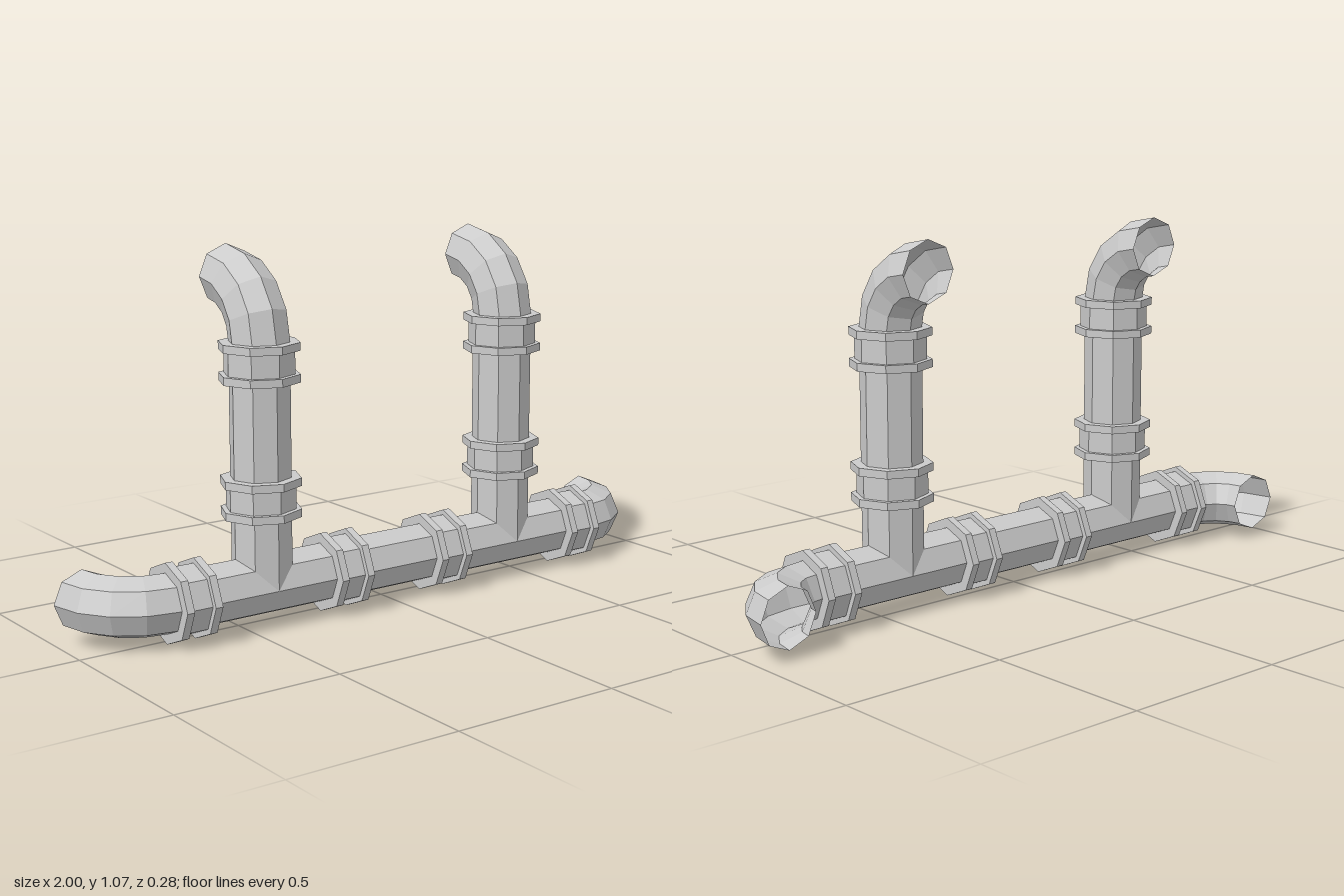
import * as THREE from 'three';

const SIDES = 8;
const PIPE_R = 0.0875;   // pipe radius
const FLANGE_R = 0.1165; // coupling rim radius
const SLEEVE_R = 0.101;  // coupling middle radius
const BEND = 0.1675;     // elbow centre-line radius
const AXIS_Y = FLANGE_R; // height of the horizontal run
const AXIS_Z = 0.0255;   // depth of all straight pipes
const RUN_END = 0.745;   // where the horizontal run meets its elbows
const RISER_X = 0.434;
const RISER_TOP = 0.812;

const material = new THREE.MeshStandardMaterial({
  color: 0xcccccc, flatShading: true, side: THREE.DoubleSide,
});

// Revolve a profile of [radius, height] pairs around y, one corner facing +z
function lathe(profile) {
  return new THREE.LatheGeometry(profile.map(([r, y]) => new THREE.Vector2(r, y)), SIDES);
}

function add(parent, name, geometry, position, rotation = [0, 0, 0]) {
  const mesh = new THREE.Mesh(geometry, material);
  mesh.name = name;
  mesh.position.set(...position);
  mesh.rotation.set(...rotation);
  parent.add(mesh);
  return mesh;
}

// Riser whose lower end is mitred to saddle the horizontal run
function riserGeometry() {
  const height = RISER_TOP - AXIS_Y;
  const geometry = lathe([[PIPE_R, 0], [PIPE_R, height]]);
  const pos = geometry.attributes.position;
  for (let i = 0; i < pos.count; i++) {
    if (pos.getY(i) < height / 2) pos.setY(i, Math.abs(pos.getX(i)));
  }
  return geometry;
}

export function createModel() {
  const model = new THREE.Group();
  model.name = 'pipework';
  const quarter = Math.PI / 2;

  const elbow = new THREE.TorusGeometry(BEND, PIPE_R, SIDES, 4, quarter);
  const riser = riserGeometry();
  // Sleeve with a rim at each end
  const coupling = lathe([
    [PIPE_R, -0.056], [FLANGE_R, -0.056], [FLANGE_R, -0.033], [SLEEVE_R, -0.033],
    [SLEEVE_R, 0.033], [FLANGE_R, 0.033], [FLANGE_R, 0.056], [PIPE_R, 0.056],
  ]);

  // Horizontal run, open at both ends into the elbows
  add(model, 'horizontalPipe', lathe([[PIPE_R, -RUN_END], [PIPE_R, RUN_END]]),
    [0, AXIS_Y, AXIS_Z], [0, 0, quarter]);

  for (const side of [-1, 1]) {
    const half = new THREE.Group();
    half.name = side > 0 ? 'leftBranch' : 'rightBranch';
    model.add(half);

    // Elbow turning the run backwards
    add(half, 'endElbow', elbow, [side * RUN_END, AXIS_Y, AXIS_Z - BEND],
      [quarter, 0, side > 0 ? 0 : quarter]);
    for (const x of [0.18, 0.69]) {
      add(half, 'runCoupling', coupling, [side * x, AXIS_Y, AXIS_Z], [0, 0, quarter]);
    }

    // Riser with its couplings and top elbow
    add(half, 'riser', riser, [side * RISER_X, AXIS_Y, AXIS_Z]);
    for (const y of [0.374, 0.756]) {
      add(half, 'riserCoupling', coupling, [side * RISER_X, y, AXIS_Z]);
    }
    add(half, 'topElbow', elbow, [side * RISER_X, RISER_TOP, AXIS_Z - BEND], [0, -quarter, 0]);
  }
  return model;
}
